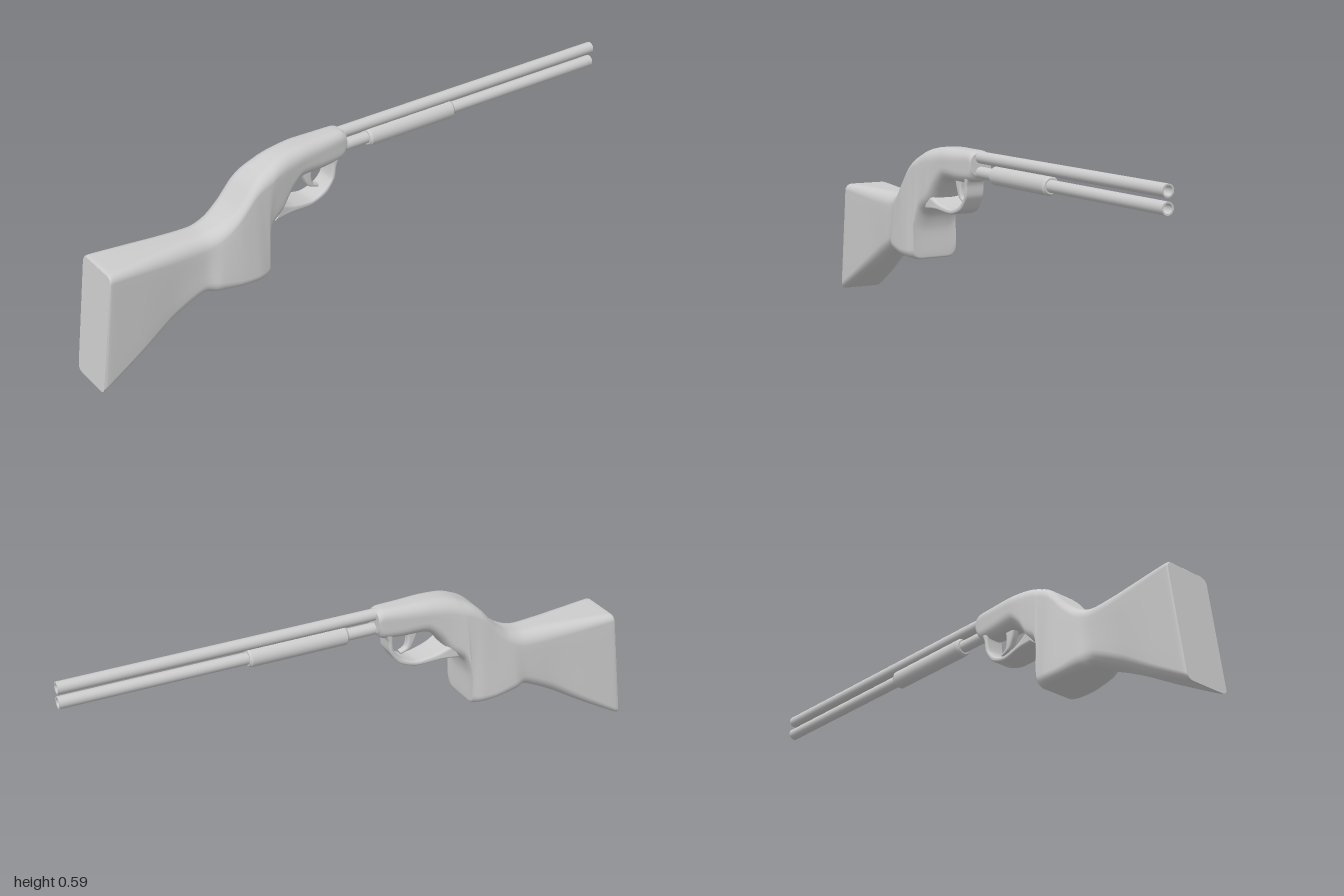
import * as THREE from 'three';

const material = new THREE.MeshStandardMaterial({ color: 0xcccccc });
const lerp = THREE.MathUtils.lerp;

// Rounded outline of one section: [side -1..1, height 0..1] pairs, anticlockwise
function outline(wTop, wBottom, height, radius) {
  const points = [];
  const corner = (sx, top, start) => {
    const w = top ? wTop : wBottom;
    const rx = Math.min(radius, w) / w;
    const rv = Math.min(radius / height, 0.48);
    for (let i = 0; i <= 6; i++) {
      const a = start + (i / 6) * Math.PI / 2;
      points.push([sx * (1 - rx) + rx * Math.cos(a), (top ? 1 - rv : rv) + rv * Math.sin(a)]);
    }
  };
  const side = (sx, from, to) => {
    const rv = Math.min(radius / height, 0.48);
    for (let i = 1; i < 5; i++) points.push([sx, lerp(from ? 1 - rv : rv, to ? 1 - rv : rv, i / 5)]);
  };
  corner(1, true, 0);
  corner(-1, true, Math.PI / 2);
  side(-1, 1, 0);
  corner(-1, false, Math.PI);
  corner(1, false, Math.PI * 1.5);
  side(1, 0, 1);
  return points;
}

// Smooth loft; rows: zTop, yTop, halfTop, zBottom, yBottom, halfBottom, radius, xShiftTop
function loft(name, rows, steps) {
  const curve = (f) => new THREE.CatmullRomCurve3(rows.map(f), false, 'catmullrom', 0.4);
  const tops = curve((r) => new THREE.Vector3(r[2], r[1], r[0]));
  const bottoms = curve((r) => new THREE.Vector3(r[5], r[4], r[3]));
  const extras = curve((r) => new THREE.Vector3(r[6], r[7], 0));
  const positions = [], index = [], rings = [];
  for (let i = 0; i <= steps; i++) {
    const t = tops.getPoint(i / steps), b = bottoms.getPoint(i / steps), e = extras.getPoint(i / steps);
    const height = Math.hypot(t.y - b.y, t.z - b.z);
    rings.push(outline(t.x, b.x, height, e.x).map(([s, v]) =>
      [s * lerp(b.x, t.x, v) + e.y * v, lerp(b.y, t.y, v), lerp(b.z, t.z, v)]));
  }
  const n = rings[0].length;
  rings.forEach((ring) => ring.forEach((p) => positions.push(...p)));
  for (let i = 0; i < steps; i++) {
    for (let j = 0; j < n; j++) {
      const a = i * n + j, b = i * n + (j + 1) % n;
      index.push(a, a + n, b, b, a + n, b + n);
    }
  }
  // Flat end faces with their own corners, so the rims stay sharp
  [rings[0], rings[steps]].forEach((ring, end) => {
    const base = positions.length / 3;
    ring.forEach((p) => positions.push(...p));
    for (let j = 1; j < n - 1; j++) {
      index.push(base, base + (end ? j + 1 : j), base + (end ? j : j + 1));
    }
  });
  const geometry = new THREE.BufferGeometry();
  geometry.setAttribute('position', new THREE.Float32BufferAttribute(positions, 3));
  geometry.setIndex(index);
  geometry.computeVertexNormals();
  const mesh = new THREE.Mesh(geometry, material);
  mesh.name = name;
  return mesh;
}

// Tube along z, hollow at its front end
function barrel(name, y) {
  const r = 0.02, inner = 0.015, length = 1.08;
  const profile = [[r, 0], [r, length], [r, length], [inner, length], [inner, length], [inner, length - 0.2], [0, length - 0.2]];
  const geometry = new THREE.LatheGeometry(profile.map(([x, h]) => new THREE.Vector2(x, h)), 24);
  const mesh = new THREE.Mesh(geometry, material);
  mesh.name = name;
  mesh.rotation.x = -Math.PI / 2;
  mesh.position.set(0, y, 0.08);
  return mesh;
}

export function createModel() {
  const model = new THREE.Group();
  model.name = 'longGun';

  // Butt, grip and receiver in one skin
  model.add(loft('stock', [
    [0.945, 0.400, 0.084, 0.998, 0.003, 0.082, 0.02, 0],
    [0.93, 0.405, 0.086, 0.975, 0.012, 0.084, 0.025, 0],
    [0.82, 0.405, 0.078, 0.85, 0.078, 0.076, 0.035, 0],
    [0.70, 0.404, 0.070, 0.73, 0.145, 0.064, 0.045, 0],
    [0.60, 0.404, 0.064, 0.62, 0.198, 0.068, 0.045, 0],
    [0.54, 0.422, 0.068, 0.57, 0.200, 0.085, 0.04, 0.005],
    [0.49, 0.460, 0.072, 0.49, 0.196, 0.093, 0.03, 0.01],
    [0.44, 0.517, 0.072, 0.43, 0.195, 0.094, 0.03, 0.01],
    [0.41, 0.543, 0.071, 0.395, 0.196, 0.088, 0.035, 0.01],
    [0.385, 0.558, 0.070, 0.390, 0.215, 0.086, 0.04, 0.01],
    [0.365, 0.568, 0.069, 0.390, 0.300, 0.082, 0.045, 0.01],
    [0.345, 0.577, 0.067, 0.372, 0.355, 0.076, 0.045, 0.01],
    [0.315, 0.586, 0.064, 0.325, 0.390, 0.068, 0.045, 0.008],
    [0.28, 0.592, 0.061, 0.288, 0.440, 0.062, 0.045, 0.005],
    [0.23, 0.595, 0.057, 0.240, 0.482, 0.056, 0.04, 0.002],
    [0.15, 0.595, 0.049, 0.150, 0.485, 0.048, 0.035, 0],
    [0.08, 0.595, 0.042, 0.080, 0.492, 0.040, 0.03, 0],
    [0.06, 0.588, 0.038, 0.060, 0.512, 0.037, 0.03, 0],
  ], 102));

  // Broad band under the trigger, narrowing towards the front
  model.add(loft('triggerGuard', [
    [0.32, 0.425, 0.058, 0.350, 0.375, 0.062, 0.012, 0],
    [0.272, 0.402, 0.050, 0.285, 0.380, 0.054, 0.008, 0],
    [0.20, 0.389, 0.042, 0.200, 0.372, 0.042, 0.007, 0],
    [0.15, 0.406, 0.037, 0.138, 0.393, 0.037, 0.007, 0],
    [0.12, 0.438, 0.035, 0.104, 0.438, 0.035, 0.007, 0],
    [0.113, 0.480, 0.036, 0.098, 0.480, 0.036, 0.007, 0],
    [0.115, 0.515, 0.036, 0.085, 0.510, 0.036, 0.007, 0],
  ], 42));

  // Curved trigger, tapering to its tip
  model.add(loft('trigger', [
    [0.175, 0.500, 0.014, 0.222, 0.500, 0.014, 0.008, 0],
    [0.180, 0.460, 0.014, 0.208, 0.458, 0.014, 0.008, 0],
    [0.174, 0.432, 0.013, 0.190, 0.424, 0.013, 0.007, 0],
    [0.152, 0.420, 0.011, 0.156, 0.410, 0.011, 0.005, 0],
  ], 18));

  model.add(barrel('upperBarrel', 0.574), barrel('lowerTube', 0.524));

  // Sliding fore-end around the lower tube, with bevelled rims
  const profile = [[0, 0], [0.025, 0], [0.025, 0], [0.031, 0.008], [0.031, 0.008], [0.031, 0.337], [0.031, 0.337], [0.025, 0.345], [0.025, 0.345], [0, 0.345]];
  const foreEnd = new THREE.Mesh(
    new THREE.LatheGeometry(profile.map(([x, h]) => new THREE.Vector2(x, h)), 24), material);
  foreEnd.name = 'foreEnd';
  foreEnd.rotation.x = -Math.PI / 2;
  foreEnd.position.set(0, 0.524, -0.04);
  model.add(foreEnd);

  return model;
}
